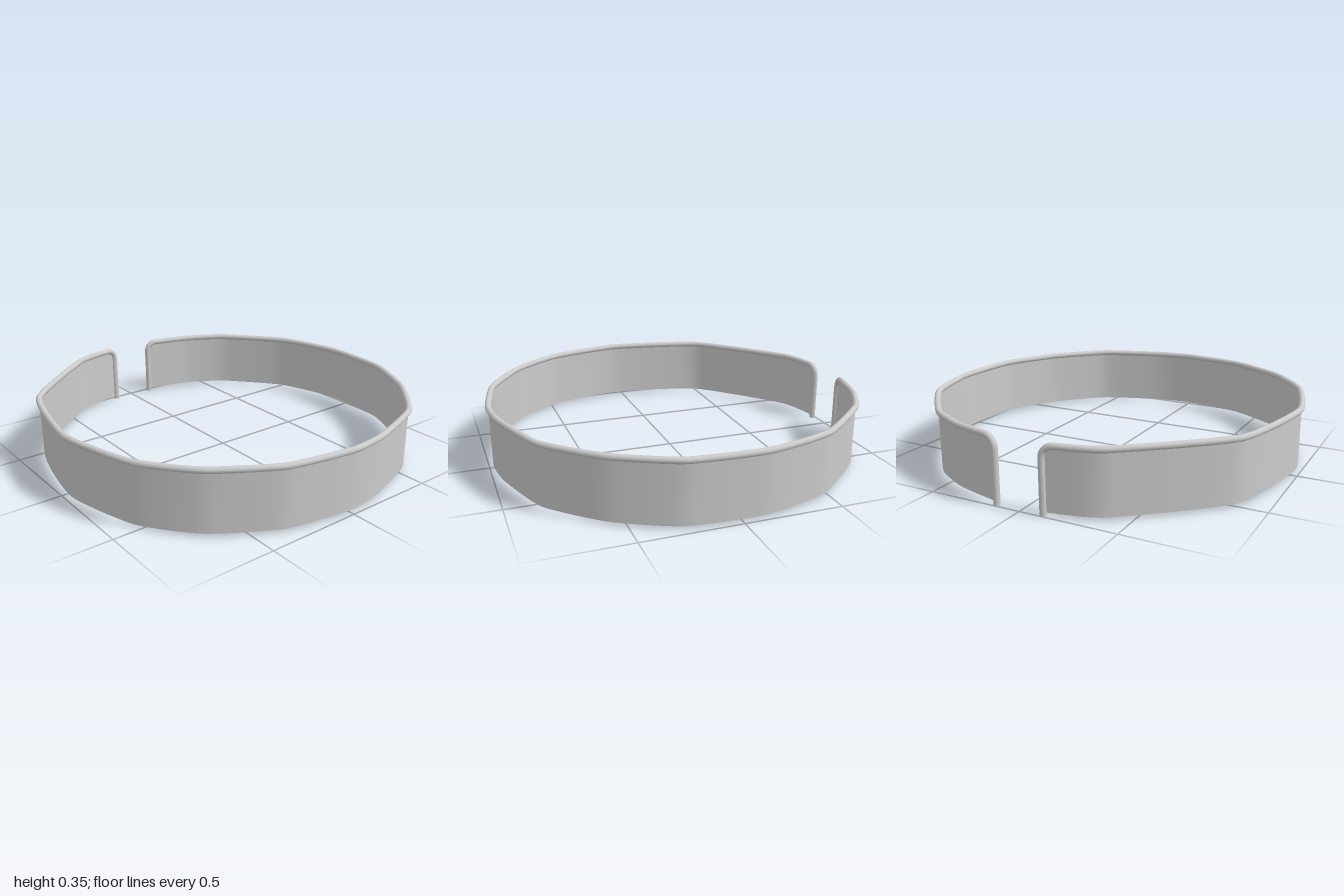
import * as THREE from 'three';

const RAIL_Y = 0.329, RADIUS = 0.0165, CORNER = 0.055, WALL_BOTTOM = 0.014;

// Plan of the open band, from one end round to the other (x, z)
const PLAN = [
  [-0.983, -0.133], [-0.91, -0.40], [-0.79, -0.61], [-0.475, -0.878], [-0.12, -0.98],
  [0.27, -0.957], [0.58, -0.80], [0.83, -0.555], [0.955, -0.21], [0.98, 0.01],
  [0.915, 0.36], [0.725, 0.67], [0.467, 0.872], [0.05, 0.977], [-0.49, 0.857],
  [-0.907, 0.39], [-0.983, 0.118],
];

// Points along the top edge, rounding down at both ends
function topEdge() {
  const plan = new THREE.CatmullRomCurve3(
    PLAN.map(([x, z]) => new THREE.Vector3(x, 0, z)), false, 'catmullrom', 0.27);
  plan.arcLengthDivisions = 1000;
  const length = plan.getLength();
  const stations = [];
  for (let i = 0; i < 8; i++) {
    const a = (i / 8) * Math.PI / 2;
    stations.push([CORNER * (1 - Math.cos(a)), RAIL_Y - CORNER * (1 - Math.sin(a))]);
  }
  const rounded = stations.map(([s, y]) => [length - s, y]).reverse();
  for (let i = 0; i <= 160; i++) {
    stations.push([CORNER + (length - 2 * CORNER) * i / 160, RAIL_Y]);
  }
  stations.push(...rounded);
  return stations.map(([s, y]) => plan.getPointAt(s / length).setY(y));
}

// Thin sheet hanging from the top edge
function wallGeometry(edge) {
  const positions = [], index = [];
  edge.forEach((p, i) => {
    positions.push(p.x, WALL_BOTTOM, p.z, p.x, p.y, p.z);
    if (i > 0) {
      const a = 2 * (i - 1);
      index.push(a, a + 1, a + 2, a + 1, a + 3, a + 2);
    }
  });
  const geometry = new THREE.BufferGeometry();
  geometry.setAttribute('position', new THREE.Float32BufferAttribute(positions, 3));
  geometry.setIndex(index);
  geometry.computeVertexNormals();
  return geometry;
}

export function createModel() {
  const group = new THREE.Group();
  const material = new THREE.MeshStandardMaterial({ color: 0xcccccc, side: THREE.DoubleSide });
  const add = (name, geometry) => {
    const mesh = new THREE.Mesh(geometry, material);
    mesh.name = name;
    group.add(mesh);
    return mesh;
  };

  const edge = topEdge();
  add('bandWall', wallGeometry(edge));

  // Round trim: up one end, along the top and down the other end
  const ends = [edge[0], edge[edge.length - 1]];
  const drop = (p, y) => new THREE.Vector3(p.x, y, p.z);
  const path = new THREE.CatmullRomCurve3([
    drop(ends[0], 0), drop(ends[0], 0.13), ...edge, drop(ends[1], 0.13), drop(ends[1], 0),
  ]);
  path.arcLengthDivisions = 2000;
  add('edgeTrim', new THREE.TubeGeometry(path, 500, RADIUS, 12));

  // Flat caps under the two trim ends
  for (const p of ends) {
    const cap = add('trimEndCap', new THREE.CircleGeometry(RADIUS, 12));
    cap.rotation.x = Math.PI / 2;
    cap.position.set(p.x, 0, p.z);
  }
  return group;
}
